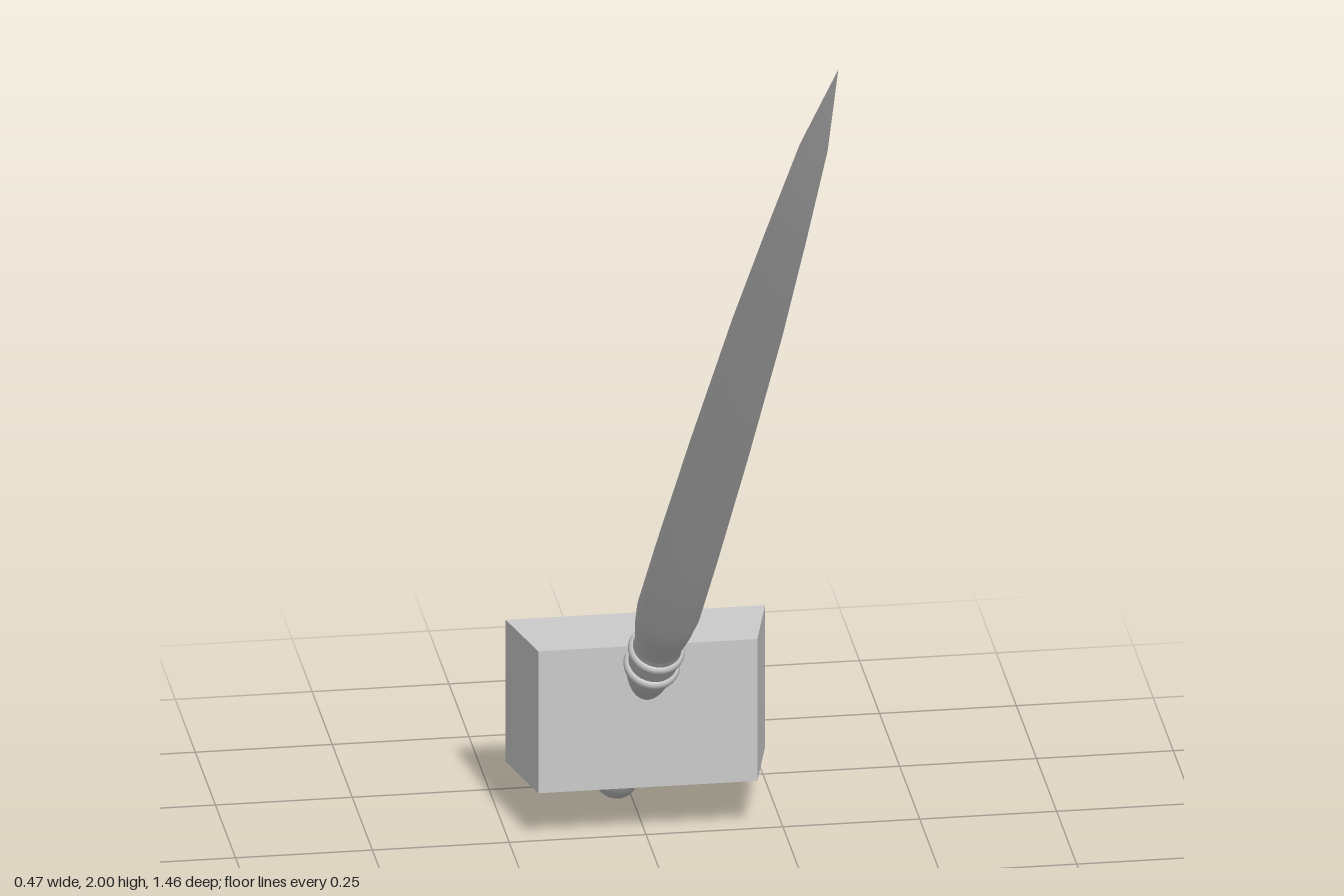
import * as THREE from 'three';
import { RoundedBoxGeometry } from 'three/addons/geometries/RoundedBoxGeometry.js';

export function createModel() {
  const group = new THREE.Group();
  const grey = new THREE.MeshStandardMaterial({ color: 0xcccccc });
  grey.name = 'lightGrey';

  const add = (name, geometry, parent = group) => {
    const mesh = new THREE.Mesh(geometry, grey);
    mesh.name = name;
    parent.add(mesh);
    return mesh;
  };

  // Slanted axis shared by all turned parts; its origin is the widest point of the spar
  const origin = new THREE.Vector3(0.02, 0.5, -0.356);
  const tip = new THREE.Vector3(0.171, 2.0, 0.728);
  const axis = new THREE.Group();
  axis.name = 'slantedSpar';
  axis.position.copy(origin);
  axis.quaternion.setFromUnitVectors(
    new THREE.Vector3(0, 1, 0), tip.clone().sub(origin).normalize());
  group.add(axis);
  const length = tip.distanceTo(origin);

  // Profiles are [radius, distance along the axis], from low to high
  const turned = (name, profile) => add(name,
    new THREE.LatheGeometry(profile.map(([r, s]) => new THREE.Vector2(r, s)), 32), axis);

  // Long tapering spar
  turned('spar', [
    [0.043, -0.13], [0.045, -0.10], [0.053, -0.05], [0.058, 0], [0.058, 0.2],
    [0.055, 0.55], [0.048, 0.97], [0.038, 1.28], [0.026, 1.585], [0, length],
  ]);

  // Stepped collar below the spar
  turned('collarNeck', [
    [0.028, -0.34], [0.031, -0.26], [0.039, -0.225], [0.045, -0.2], [0.045, -0.11],
  ]);
  for (const s of [-0.185, -0.135]) {
    const ring = add('collarRing', new THREE.TorusGeometry(0.038, 0.014, 12, 32), axis);
    ring.rotation.x = Math.PI / 2;
    ring.position.y = s;
  }

  // Handle emerging from the back of the block
  turned('handle', [
    [0, -0.597], [0.028, -0.595], [0.037, -0.585], [0.042, -0.565], [0.041, -0.54],
    [0.036, -0.49], [0.034, -0.45], [0.034, -0.36],
  ]);

  // Block, wider at the back than at the front
  const plan = new THREE.Shape([
    new THREE.Vector2(-0.2, 0.478), new THREE.Vector2(0.2, 0.478),
    new THREE.Vector2(0.237, 0.633), new THREE.Vector2(-0.237, 0.633),
  ]);
  const block = new THREE.ExtrudeGeometry(plan, { depth: 0.278, bevelEnabled: false });
  block.rotateX(-Math.PI / 2);
  block.translate(0, 0.105, 0);
  add('block', block);

  // Small rounded stud on the back face
  const stud = add('backStud', new RoundedBoxGeometry(0.07, 0.08, 0.06, 3, 0.012));
  stud.position.set(-0.016, 0.207, -0.625);

  return group;
}
